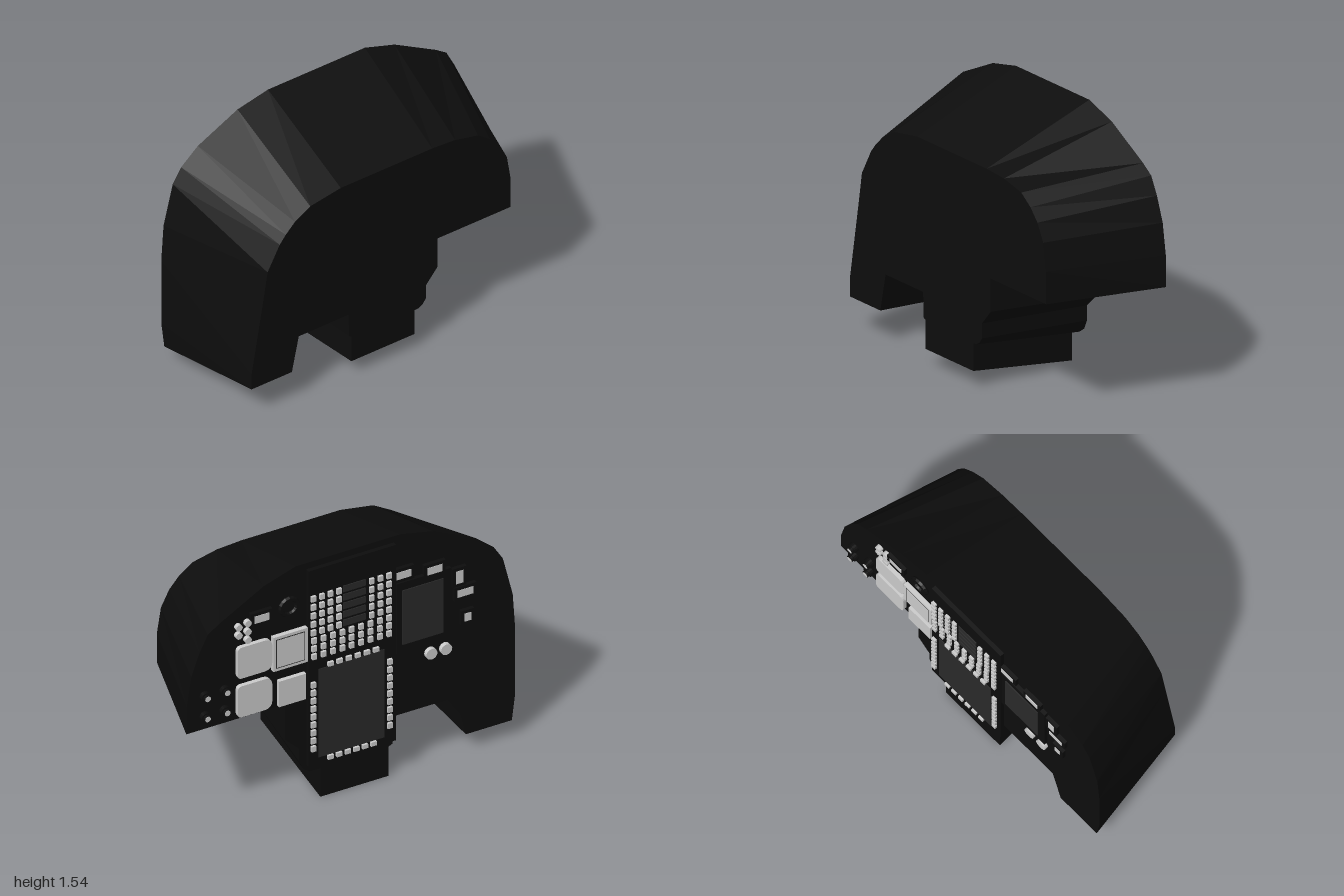
import * as THREE from 'three';

const mat = (color) => new THREE.MeshStandardMaterial({ color, flatShading: true });
const black = mat(0x0d0d0d), dark = mat(0x2a2a2a), grey = mat(0xcccccc);
const BACK = -0.315, FRONT = 0.355, PANEL = -0.34;

// Matching counter-clockwise outlines of the housing, back and front
const backOutline = [
  [-0.3, 1.54], [-0.5, 1.495], [-0.76, 1.365], [-0.87, 1.27], [-0.925, 1.18], [-0.985, 0.93], [-1, 0.7], [-1, 0.28],
  [-0.98, 0.115], [-0.7, 0.115], [-0.67, 0.25], [-0.64, 0.375], [-0.26, 0.375], [-0.255, 0.2], [-0.23, 0.19], [-0.23, 0],
  [0.185, 0], [0.185, 0.185], [0.25, 0.185], [0.29, 0.215], [0.315, 0.27], [0.315, 0.355], [0.4, 0.44], [0.4, 0.67],
  [1, 0.67], [0.997, 0.85], [0.97, 1.03], [0.92, 1.17], [0.87, 1.27], [0.8, 1.32], [0.53, 1.475], [0.335, 1.54],
];
const frontOutline = [
  [-0.3, 1.295], [-0.5, 1.26], [-0.6, 1.2], [-0.66, 1.14], [-0.7, 1.09], [-0.78, 0.94], [-0.81, 0.75], [-0.885, 0.3],
  [-0.885, 0.2], [-0.62, 0.2], [-0.6, 0.3], [-0.575, 0.42], [-0.25, 0.42], [-0.245, 0.275], [-0.23, 0.265], [-0.23, 0.1],
  [0.185, 0.1], [0.185, 0.26], [0.21, 0.26], [0.24, 0.28], [0.26, 0.31], [0.26, 0.395], [0.335, 0.485], [0.335, 0.675],
  [0.815, 0.675], [0.815, 0.86], [0.79, 1.02], [0.74, 1.12], [0.68, 1.19], [0.6, 1.25], [0.45, 1.285], [0.3, 1.295],
];

// Lofts one outline to the other and caps both ends
function loftGeometry(back, front) {
  const pos = [];
  const b = back.map(([x, y]) => [x, y, BACK]);
  const f = front.map(([x, y]) => [x, y, FRONT]);
  const tri = (...pts) => pts.forEach((p) => pos.push(...p));
  b.forEach((_, i) => {
    const j = (i + 1) % b.length;
    tri(b[i], b[j], f[j]);
    tri(b[i], f[j], f[i]);
  });
  const cap = (pts) => THREE.ShapeUtils.triangulateShape(pts.map(([x, y]) => new THREE.Vector2(x, y)), []);
  cap(front).forEach(([i, j, k]) => tri(f[i], f[j], f[k]));
  cap(back).forEach(([i, j, k]) => tri(b[k], b[j], b[i]));
  const g = new THREE.BufferGeometry();
  g.setAttribute('position', new THREE.Float32BufferAttribute(pos, 3));
  g.computeVertexNormals();
  return g;
}

export function createModel() {
  const model = new THREE.Group();
  const add = (name, geometry, material, x, y, z, parent = model) => {
    const m = new THREE.Mesh(geometry, material);
    m.name = name;
    m.position.set(x, y, z);
    parent.add(m);
    return m;
  };
  // Box standing out of the back, from z0 out to z1
  const block = (name, material, x0, x1, y0, y1, z1, z0 = BACK + 0.005, parent = model) =>
    add(name, new THREE.BoxGeometry(Math.abs(x1 - x0), y1 - y0, z0 - z1), material,
      (x0 + x1) / 2, (y0 + y1) / 2, (z0 + z1) / 2, parent);
  const disc = (name, material, x, y, r, z1, z0 = BACK + 0.005) =>
    add(name, new THREE.CylinderGeometry(r, r, z0 - z1, 16).rotateX(Math.PI / 2), material, x, y, (z0 + z1) / 2);
  const group = (name) => {
    const g = new THREE.Group();
    g.name = name;
    model.add(g);
    return g;
  };

  add('housing', loftGeometry(backOutline, frontOutline), black, 0, 0, 0);

  // Raised panels on the back
  block('centrePanel', black, -0.262, 0.27, 0.235, 1.5, PANEL);
  block('sidePanel', black, -0.6, -0.268, 0.79, 1.24, PANEL + 0.002);

  // Large lower screen with keys on all four sides
  block('mainScreen', dark, -0.19, 0.21, 0.28, 0.85, PANEL - 0.004);
  const keys = group('keys');
  const key = (x, y, w = 0.028, h = 0.034) =>
    block('key', grey, x - w / 2, x + w / 2, y - h / 2, y + h / 2, -0.355, PANEL, keys);
  for (let i = 0; i < 9; i++) for (const x of [0.245, -0.22]) key(x, 0.35 + i * 0.0515);
  for (let i = 0; i < 6; i++) {
    key(0.14 - i * 0.055, 0.868, 0.034, 0.026);
    key(0.14 - i * 0.052, 0.265, 0.034, 0.026);
  }

  // Keypad: upper side columns around dark displays, full rows below
  for (let r = 0; r < 5; r++) {
    for (const x of [0.245, 0.193, 0.141, 0.089, -0.11, -0.163, -0.216]) key(x, 1.1 + r * 0.055);
    block('keypadDisplay', dark, -0.075, 0.06, 1.08 + r * 0.055, 1.12 + r * 0.055, PANEL - 0.005);
  }
  for (let r = 0; r < 3; r++) for (let c = 0; c < 9; c++) key(0.24 - c * 0.057, 0.945 + r * 0.051);

  // Side screen and the small switches around it
  block('sideScreen', dark, -0.55, -0.3, 0.84, 1.19, PANEL - 0.003);
  for (const [x, y, w, h] of [
    [-0.31, 1.29, 0.09, 0.046], [-0.5, 1.26, 0.09, 0.046], [-0.65, 1.163, 0.045, 0.08],
    [-0.685, 1.055, 0.095, 0.045], [-0.7, 0.89, 0.04, 0.05], [0.553, 1.29, 0.09, 0.046],
  ]) {
    block('switchBase', black, x - w / 2 - 0.02, x + w / 2 + 0.02, y - h / 2 - 0.02, y + h / 2 + 0.02, PANEL + 0.003);
    block('switch', grey, x - w / 2, x + w / 2, y - h / 2, y + h / 2, PANEL);
  }
  for (const x of [-0.48, -0.57]) disc('roundGauge', grey, x, 0.72, 0.034, PANEL);

  // Rounded gauge plates
  for (const y of [0.69, 0.94]) {
    const s = new THREE.Shape();
    const [l, r, t, c] = [0.49, 0.7, y + 0.2, 0.05];
    s.moveTo(l + c, y).lineTo(r - c / 2, y).quadraticCurveTo(r, y, r, y + c / 2);
    s.lineTo(r, t - c / 2).quadraticCurveTo(r, t, r - c / 2, t);
    s.lineTo(l + c, t).quadraticCurveTo(l, t, l, t - c);
    s.lineTo(l, y + c).quadraticCurveTo(l, y, l + c, y);
    const g = new THREE.ExtrudeGeometry(s, { depth: 0.025, bevelEnabled: false, curveSegments: 5 });
    add('gaugePlate', g, grey, 0, 0, PANEL);
  }

  // Square displays, the upper one with an inset frame line
  block('upperDisplay', grey, 0.275, 0.485, 0.92, 1.14, PANEL - 0.002);
  block('upperDisplayLine', dark, 0.292, 0.468, 0.937, 1.123, PANEL - 0.003);
  block('upperDisplayFace', grey, 0.297, 0.463, 0.942, 1.118, PANEL - 0.004);
  block('lowerDisplay', grey, 0.285, 0.45, 0.68, 0.845, PANEL);

  // Knobs, indicator dots and the round bezel
  for (const x of [0.77, 0.89]) for (const y of [0.755, 0.885]) {
    disc('knobBase', black, x, y, 0.03, PANEL);
    disc('knob', black, x, y, 0.021, -0.355);
    disc('knobCap', grey, x, y, 0.017, -0.357, -0.355);
  }
  for (const [x, y] of [[0.635, 1.28], [0.69, 1.217], [0.635, 1.225], [0.635, 1.172], [0.69, 1.27]])
    disc('indicator', grey, x, y, 0.02, PANEL);
  add('roundBezel', new THREE.TorusGeometry(0.05, 0.015, 6, 16), black, 0.38, 1.3, BACK - 0.008);

  return model;
}
